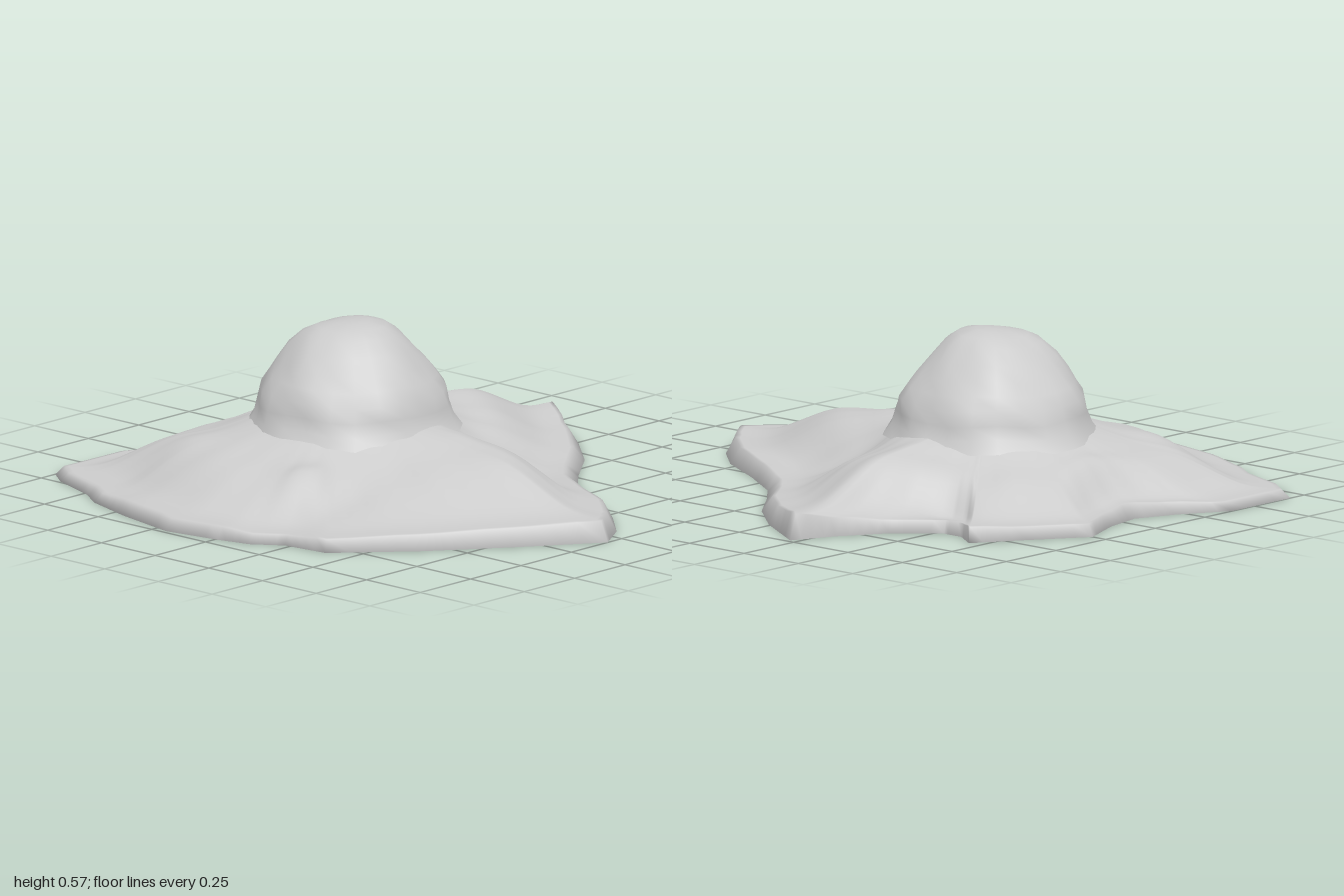
import * as THREE from 'three';
import { mergeVertices } from 'three/addons/utils/BufferGeometryUtils.js';

const CX = -0.07, CZ = -0.19, INNER = 0.29;

// Ground outline, anticlockwise from above: x, z, rim height, height halfway to the dome
const OUTLINE = [
  [-0.07, 1.00, 0.07, 0.19], [0.06, 0.92, 0.06, 0.19], [0.18, 0.79, 0.06, 0.18],
  [0.30, 0.58, 0.05, 0.14], [0.42, 0.40, 0.04, 0.10], [0.52, 0.31, 0.04, 0.11],
  [0.69, 0.18, 0.05, 0.14], [0.84, 0.01, 0.06, 0.17], [0.985, -0.22, 0.085, 0.19],
  [0.83, -0.29, 0.06, 0.18], [0.67, -0.39, 0.04, 0.17], [0.55, -0.53, 0.04, 0.15],
  [0.55, -0.61, 0.04, 0.14], [0.61, -0.70, 0.05, 0.12], [0.44, -0.81, 0.04, 0.14],
  [0.25, -0.94, 0.04, 0.13], [0.08, -0.87, 0.04, 0.15], [-0.07, -0.84, 0.05, 0.16],
  [-0.22, -0.90, 0.04, 0.15], [-0.39, -1.00, 0.03, 0.14], [-0.68, -1.00, 0.03, 0.14],
  [-0.74, -0.92, 0.03, 0.15], [-0.81, -0.73, 0.03, 0.17], [-0.87, -0.64, 0.03, 0.17],
  [-0.93, -0.45, 0.04, 0.17], [-0.985, -0.20, 0.04, 0.15], [-0.95, 0.01, 0.04, 0.14],
  [-0.92, 0.13, 0.03, 0.13], [-0.85, 0.23, 0.03, 0.12], [-0.83, 0.40, 0.04, 0.10],
  [-0.59, 0.62, 0.05, 0.12], [-0.34, 0.81, 0.06, 0.16],
];

// Local rises and hollows: x, z, height, width in x, width in z
const BUMPS = [
  [-0.56, 0.06, 0.04, 0.11, 0.08], [-0.53, 0.22, -0.015, 0.14, 0.07],
  [0.22, 0.34, -0.025, 0.09, 0.14], [0.01, 0.25, 0.015, 0.08, 0.15],
  [0.47, -0.47, -0.02, 0.07, 0.11], [0.45, -0.20, 0.015, 0.15, 0.08],
  [-0.20, 0.48, -0.012, 0.06, 0.12], [-0.60, -0.40, -0.012, 0.08, 0.12],
  [-0.05, -0.66, 0.012, 0.12, 0.07],
];

function relief(x, z) {
  let y = 0;
  for (const [bx, bz, h, wx, wz] of BUMPS) {
    y += h * Math.exp(-(((x - bx) / wx) ** 2) - ((z - bz) / wz) ** 2);
  }
  return y;
}

// Subdivide the outline edges: straight in plan, eased in height
function sampleOutline(steps) {
  const out = [];
  OUTLINE.forEach((a, i) => {
    const b = OUTLINE[(i + 1) % OUTLINE.length];
    for (let s = 0; s < steps; s++) {
      const t = s / steps, ease = t * t * (3 - 2 * t);
      out.push(a.map((v, k) => v + (b[k] - v) * (k < 2 ? t : ease)));
    }
  });
  return out;
}

// Each spoke runs from under the dome to the rim, down to the floor and back to the centre
function groundGeometry() {
  const edge = sampleOutline(4), rings = 20, n = edge.length, rows = rings + 3;
  const pos = [], idx = [];
  for (const [ex, ez, rim, mid] of edge) {
    const dx = ex - CX, dz = ez - CZ, R = Math.hypot(dx, dz);
    const put = (r, y) => pos.push(CX + (dx * r) / R, y, CZ + (dz * r) / R);
    const top = R - (ex > 0 && ez > -0.1 ? 0.04 : 0.03);
    const slope = new THREE.SplineCurve([
      new THREE.Vector2(0, 0.25),
      new THREE.Vector2(0.25, 0.4 * 0.25 + 0.6 * mid),
      new THREE.Vector2(0.5, mid),
      new THREE.Vector2(0.8, 0.85 * rim + 0.15 * mid),
      new THREE.Vector2(1, rim),
    ]);
    for (let i = 0; i <= rings; i++) {
      const { x: t, y } = slope.getPoint(i / rings);
      const r = INNER + (top - INNER) * t;
      const bump = relief(CX + (dx * r) / R, CZ + (dz * r) / R);
      put(r, Math.max(0.025, y + bump * Math.min(1, 5 * t, 5 * (1 - t))));
    }
    put(R, 0);
    put(R - 0.04, 0);
  }
  // Spokes are joined to their neighbours, and the floor closes on one centre point
  const spoke = rows, centre = n * spoke;
  pos.push(CX, 0, CZ);
  for (let i = 0; i < n; i++) {
    const a = i * spoke, b = ((i + 1) % n) * spoke;
    for (let r = 0; r < rows - 1; r++) {
      idx.push(a + r, a + r + 1, b + r + 1, a + r, b + r + 1, b + r);
    }
    idx.push(a + rows - 1, centre, b + rows - 1);
  }
  const g = new THREE.BufferGeometry();
  g.setAttribute('position', new THREE.Float32BufferAttribute(pos, 3));
  g.setIndex(idx);
  g.computeVertexNormals();
  return g;
}

// Rounded boulder with shallow worn planes, flared where it meets the ground
function domeGeometry() {
  const profile = [
    [0.37, 0.20], [0.34, 0.245], [0.328, 0.29], [0.318, 0.34], [0.287, 0.385], [0.255, 0.43],
    [0.215, 0.48], [0.165, 0.53], [0.12, 0.555], [0.06, 0.568], [0, 0.57],
  ].map(([r, y]) => new THREE.Vector2(r, y));
  let g = new THREE.LatheGeometry(profile, 24);
  g.deleteAttribute('uv');
  g.deleteAttribute('normal');
  g = mergeVertices(g, 1e-4);
  const p = g.attributes.position;
  for (let i = 0; i < p.count; i++) {
    const x = p.getX(i), y = p.getY(i), z = p.getZ(i), a = Math.atan2(z, x);
    const k = 1 + 0.018 * Math.sin(5 * a + 12 * y) + 0.015 * Math.sin(8 * a - 25 * y);
    p.setXYZ(i, x * k, y + 0.006 * Math.sin(16 * x + 11 * z) - 0.03 * x * (y > 0.45), z * k);
  }
  g.computeVertexNormals();
  return g;
}

export function createModel() {
  const group = new THREE.Group();
  group.name = 'rockyMound';
  const material = new THREE.MeshStandardMaterial({ color: 0xcccccc });
  const add = (name, geometry) => {
    const mesh = new THREE.Mesh(geometry, material);
    mesh.name = name;
    group.add(mesh);
    return mesh;
  };
  add('ground', groundGeometry());
  add('domeRock', domeGeometry()).position.set(CX, 0, CZ);
  return group;
}
